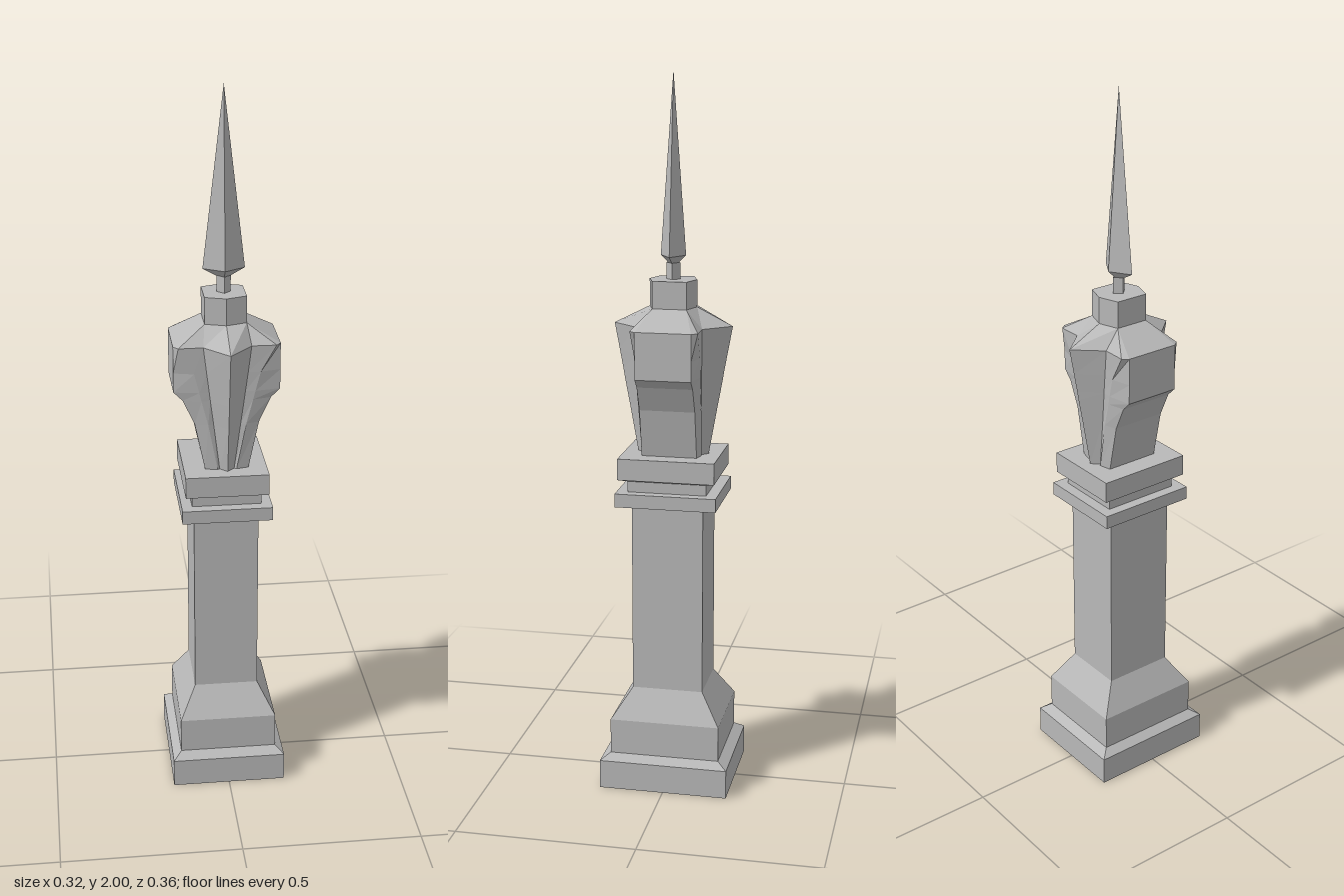
import * as THREE from 'three';

const stone = new THREE.MeshStandardMaterial({ color: 0xb8b8b8, side: THREE.DoubleSide });
stone.name = 'grey stone';

// Joins rings of [x, z] points (ordered from +z towards +x) into a faceted skin.
function loft(name, levels, capTop = false) {
  const rings = levels.map(([y, pts]) => pts.map(([x, z]) => new THREE.Vector3(x, y, z)));
  const out = [];
  const tri = (a, b, c) => {
    const area = b.clone().sub(a).cross(c.clone().sub(a)).length();
    if (area > 1e-9) for (const p of [a, b, c]) out.push(p.x, p.y, p.z);
  };
  const n = rings[0].length;
  for (let r = 0; r + 1 < rings.length; r++) {
    for (let i = 0; i < n; i++) {
      const j = (i + 1) % n;
      tri(rings[r][i], rings[r][j], rings[r + 1][j]);
      tri(rings[r][i], rings[r + 1][j], rings[r + 1][i]);
    }
  }
  if (capTop) {
    const top = rings[rings.length - 1];
    const mid = new THREE.Vector3(0, top[0].y, 0);
    for (let i = 0; i < n; i++) tri(mid, top[i], top[(i + 1) % n]);
  }
  const geo = new THREE.BufferGeometry();
  geo.setAttribute('position', new THREE.Float32BufferAttribute(out, 3));
  geo.computeVertexNormals();
  const mesh = new THREE.Mesh(geo, stone);
  mesh.name = name;
  return mesh;
}

const rect = (x, z) => [[x, z], [x, -z], [-x, -z], [-x, z]];
const diamond = (x, z) => [[0, z], [x, 0], [0, -z], [-x, 0]];

// Mirrors one quarter outline, starting at the front point, into a full ring.
function mirrored(quarter) {
  const [front, ...side] = quarter;
  const flip = (pts, sx, sz) => pts.map(([x, z]) => [x * sx, z * sz]);
  const back = [...side].reverse();
  return [front, ...side, ...flip(back, 1, -1), [0, -front[1]], ...flip(side, -1, -1), ...flip(back, -1, 1)];
}

export function createModel() {
  const model = new THREE.Group();
  model.name = 'stonePillar';

  // Stepped foot, open underneath
  model.add(loft('pedestal', [
    [0, rect(0.161, 0.182)],
    [0.082, rect(0.161, 0.182)],
    [0.1, rect(0.137, 0.155)],
    [0.2, rect(0.137, 0.155)],
    [0.285, rect(0.09, 0.1)],
  ]));

  model.add(loft('shaft', [
    [0.285, rect(0.09, 0.1)],
    [0.825, rect(0.09, 0.1)],
  ]));

  // Moulded capital
  model.add(loft('capital', [
    [0.825, rect(0.09, 0.1)],
    [0.825, rect(0.125, 0.141)],
    [0.863, rect(0.125, 0.141)],
    [0.863, rect(0.096, 0.11)],
    [0.893, rect(0.096, 0.11)],
    [0.9, rect(0.115, 0.135)],
    [0.96, rect(0.115, 0.135)],
  ], true));

  const head = new THREE.Group();
  head.name = 'head';
  head.position.x = 0.004;
  model.add(head);

  // Flared body: pointed prows front and back, curved wings at the sides.
  // Each row: y, prow z, prow root x and z, wing chamfer x and z, wing edge x and z
  const rows = [
    [0.96, 0.1, 0.02, 0.08, 0.026, 0.085, 0.06, 0.077],
    [1.095, 0.124, 0.037, 0.084, 0.052, 0.088, 0.088, 0.077],
    [1.165, 0.137, 0.046, 0.087, 0.07, 0.089, 0.12, 0.077],
    [1.19, 0.141, 0.049, 0.088, 0.076, 0.09, 0.145, 0.077],
    [1.245, 0.151, 0.056, 0.09, 0.09, 0.091, 0.145, 0.077],
    [1.32, 0.165, 0.065, 0.092, 0.132, 0.093, 0.145, 0.077],
  ];
  const body = rows.map(([y, p, ax, az, bx, bz, cx, cz]) =>
    [y, mirrored([[0, p], [ax, az], [bx, bz], [cx, cz]])]);
  head.add(loft('flaredBody', body));

  // Sloping shoulders run up to a six-sided neck
  const corner = [0.057, 0.047];
  const hex = mirrored([[0, 0.066], corner, corner, corner]);
  head.add(loft('shoulders', [body[body.length - 1], [1.37, hex]]));
  head.add(loft('neck', [[1.37, hex], [1.445, hex]], true));

  // Spike on a short stem
  head.add(loft('stem', [
    [1.445, diamond(0.019, 0.019)],
    [1.49, diamond(0.019, 0.019)],
  ]));
  head.add(loft('spire', [
    [1.485, diamond(0.012, 0.01)],
    [1.51, diamond(0.057, 0.035)],
    [2, diamond(0, 0)],
  ]));

  return model;
}
